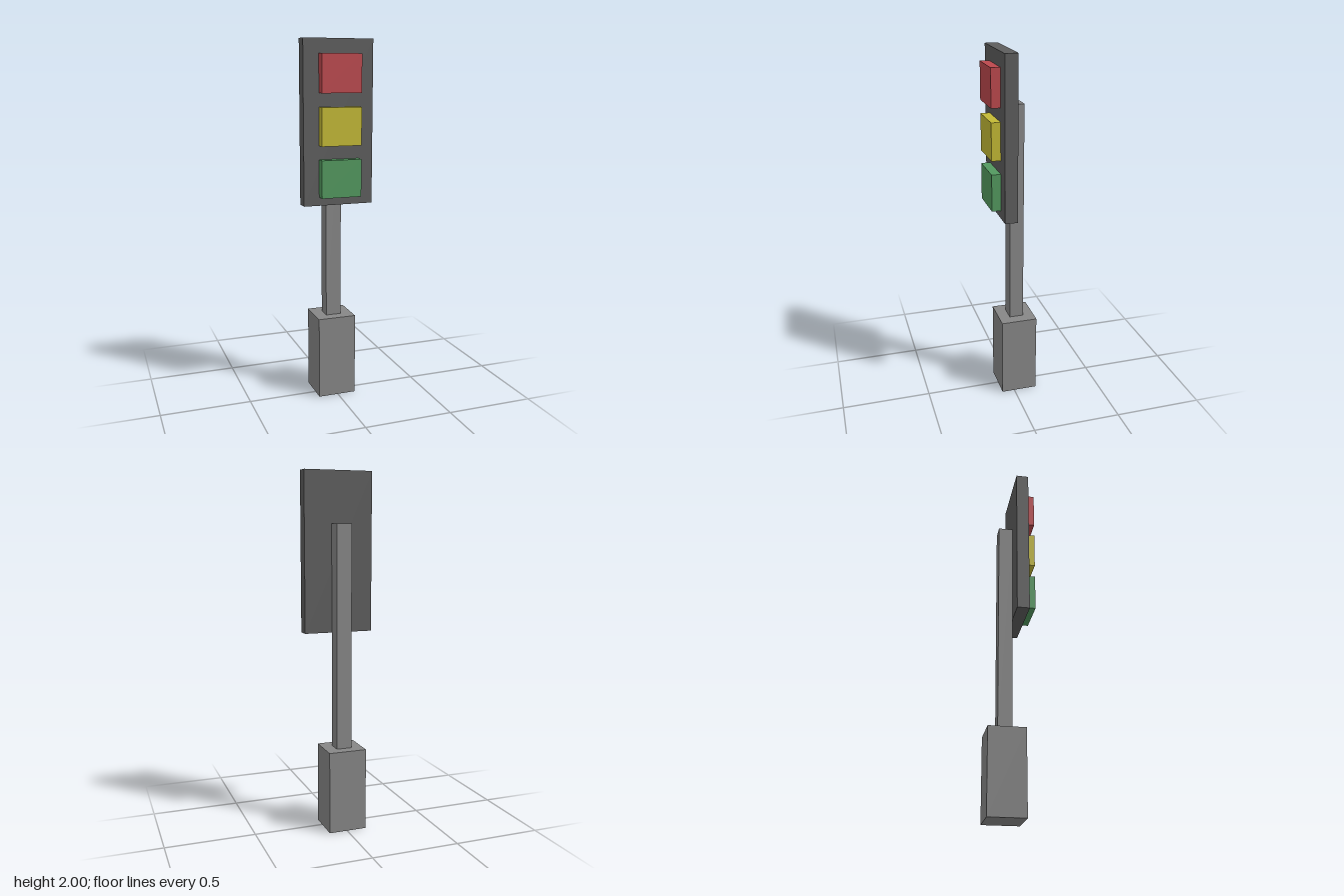
import * as THREE from 'three';

const material = (name, color) => {
  const m = new THREE.MeshStandardMaterial({ color });
  m.name = name;
  return m;
};

export function createModel() {
  const group = new THREE.Group();
  group.name = 'trafficLight';

  const postGrey = material('post grey', 0x878787);
  const panelGrey = material('panel dark grey', 0x5d5d5d);
  const red = material('signal red', 0xbc484d);
  const yellow = material('signal yellow', 0xc3b935);
  const green = material('signal green', 0x53995f);

  // Box given by its [min, max] extent on each axis
  const addBox = (name, mat, [x0, x1], [y0, y1], [z0, z1]) => {
    const mesh = new THREE.Mesh(new THREE.BoxGeometry(x1 - x0, y1 - y0, z1 - z0), mat);
    mesh.position.set((x0 + x1) / 2, (y0 + y1) / 2, (z0 + z1) / 2);
    mesh.name = name;
    group.add(mesh);
  };

  // Foot and pole
  addBox('base', postGrey, [-0.112, 0.104], [0, 0.465], [-0.132, 0.073]);
  addBox('pole', postGrey, [-0.048, 0.039], [0.465, 1.715], [-0.07, 0.01]);

  // Signal board fixed to the front of the pole
  addBox('signalPanel', panelGrey, [-0.197, 0.195], [1.117, 2], [0.01, 0.08]);

  // Three square lamps
  const lamps = [['redLamp', red, 1.82], ['yellowLamp', yellow, 1.543], ['greenLamp', green, 1.265]];
  for (const [name, mat, y] of lamps) {
    addBox(name, mat, [-0.111, 0.113], [y - 0.102, y + 0.102], [0.08, 0.13]);
  }

  return group;
}
